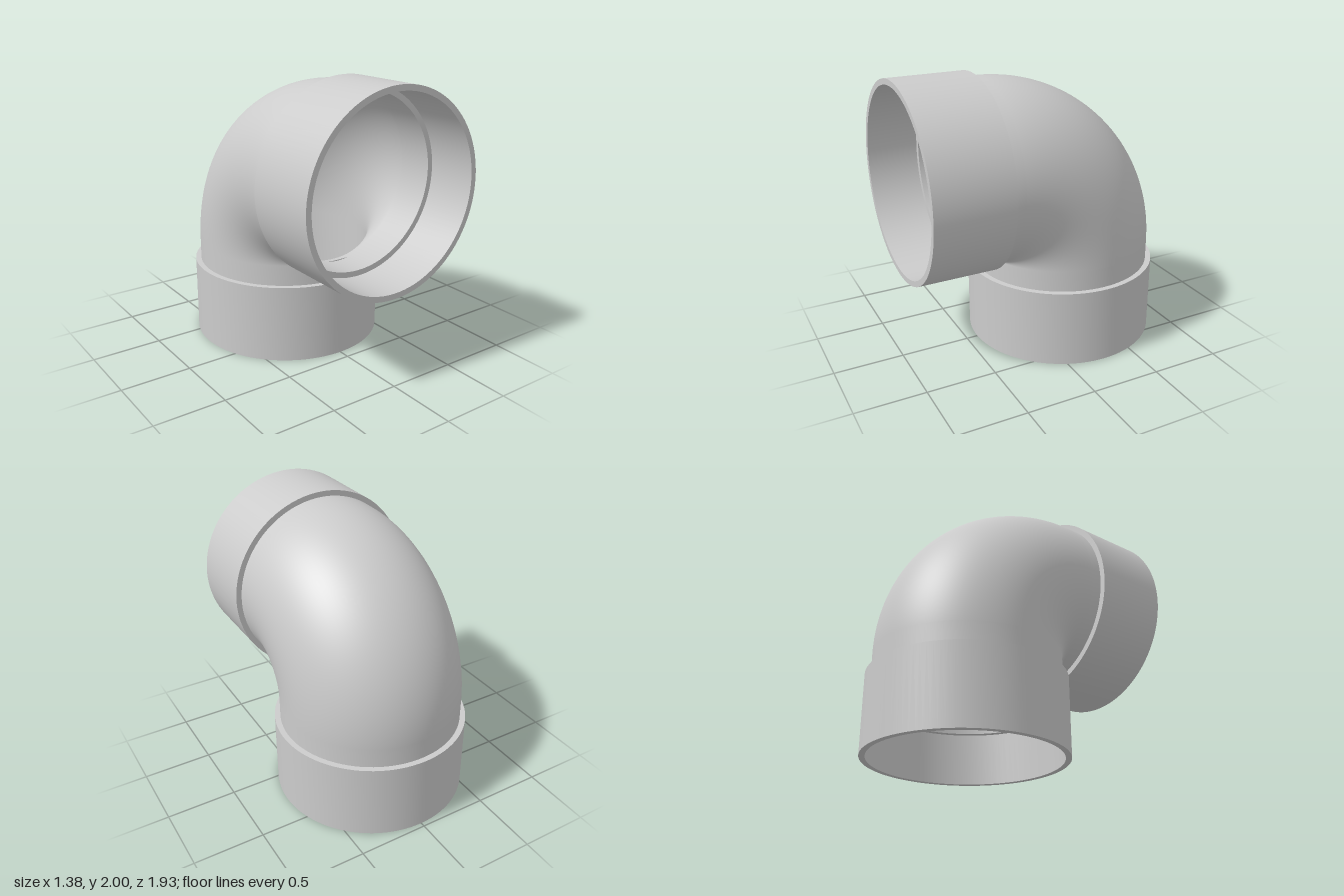
import * as THREE from 'three';
import { toCreasedNormals } from 'three/addons/utils/BufferGeometryUtils.js';

const OUTER = 0.652, BORE = 0.612, RIM = 0.692; // pipe outside, pipe bore, socket outside
const SOCKET = 0.555, DEPTH = 0.37;             // socket length, depth of the inner ledge
const BEND = 0.605;                             // radius of the bend's centre line
const AXIS_Y = 1.308, AXIS_Z = -0.275, FRONT = 0.965;

const material = new THREE.MeshStandardMaterial({ color: 0xcccccc });

// Socket with an inner ledge, running on into a short straight pipe
function socket(length) {
  const profile = [
    [BORE, length], [BORE, DEPTH], [OUTER, DEPTH], [OUTER, 0],
    [RIM, 0], [RIM, SOCKET], [OUTER, SOCKET], [OUTER, length],
  ].map(([r, y]) => new THREE.Vector2(r, y));
  return toCreasedNormals(new THREE.LatheGeometry(profile, 96), 0.6);
}

// Quarter bend; points past the bend's centre are held on it
function bend(radius, inward) {
  const geo = new THREE.TorusGeometry(BEND, radius, 96, 48, Math.PI / 2);
  const pos = geo.attributes.position;
  for (let i = 0; i < pos.count; i++) {
    pos.setX(i, Math.max(0, pos.getX(i)));
    pos.setY(i, Math.max(0, pos.getY(i)));
  }
  if (inward) {
    geo.index.array.reverse();
    const n = geo.attributes.normal;
    for (let i = 0; i < n.count; i++) n.setXYZ(i, -n.getX(i), -n.getY(i), -n.getZ(i));
  }
  return geo.rotateY(Math.PI / 2);
}

export function createModel() {
  const group = new THREE.Group();
  group.name = 'pipeElbow';
  const add = (name, geo, y, z) => {
    const mesh = new THREE.Mesh(geo, material);
    mesh.name = name;
    mesh.position.set(0, y, z);
    group.add(mesh);
  };

  const bendY = AXIS_Y - BEND, bendZ = AXIS_Z + BEND;
  add('bottomSocket', socket(bendY), 0, AXIS_Z);
  add('frontSocket', socket(FRONT - bendZ).rotateX(-Math.PI / 2), AXIS_Y, FRONT);
  add('bendOutside', bend(OUTER, false), bendY, bendZ);
  add('bendInside', bend(BORE, true), bendY, bendZ);
  return group;
}
